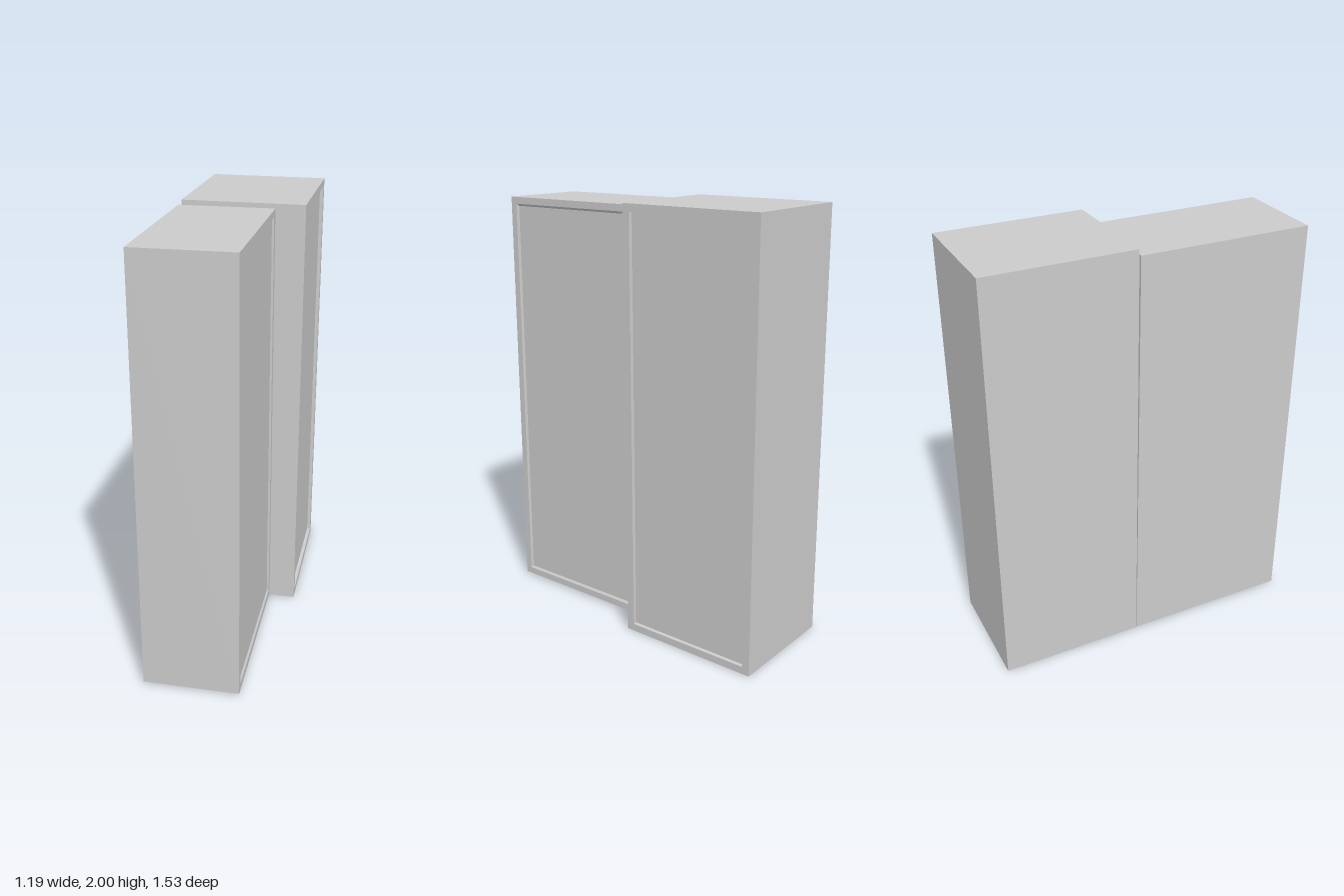
import * as THREE from 'three';

// Closed box with a framed, recessed front panel, built from nested rectangular rings.
// The base is centred on the origin; the panel faces +z.
function framedCabinet(w, h, d, border, bevel, recess) {
  const ring = (inset, z) => {
    const x = w / 2 - inset;
    return [[-x, inset, z], [x, inset, z], [x, h - inset, z], [-x, h - inset, z]];
  };
  const rings = [
    ring(0, -d / 2),                        // back
    ring(0, d / 2),                         // front outer edge
    ring(border, d / 2),                    // inner edge of frame
    ring(border + bevel, d / 2 - recess),   // panel edge
  ];
  const pos = [];
  const quad = (a, b, c, e) => pos.push(...a, ...b, ...c, ...a, ...c, ...e);
  for (let r = 0; r < rings.length - 1; r++) {
    for (let i = 0; i < 4; i++) {
      const j = (i + 1) % 4;
      quad(rings[r][i], rings[r][j], rings[r + 1][j], rings[r + 1][i]);
    }
  }
  quad(...rings[rings.length - 1]);         // panel
  quad(...[...rings[0]].reverse());         // back face
  const g = new THREE.BufferGeometry();
  g.setAttribute('position', new THREE.Float32BufferAttribute(pos, 3));
  g.computeVertexNormals();
  return g;
}

export function createModel() {
  const model = new THREE.Group();
  model.name = 'cabinetPair';
  const material = new THREE.MeshStandardMaterial({ color: 0xcccccc, flatShading: true });

  // Both cabinets stand side by side on a turned axis
  const pair = new THREE.Group();
  pair.name = 'cabinets';
  pair.rotation.y = 1.097;
  model.add(pair);

  const add = (name, geometry, x, y, z) => {
    const mesh = new THREE.Mesh(geometry, material);
    mesh.name = name;
    mesh.position.set(x, y, z);
    pair.add(mesh);
    return mesh;
  };

  // Shallow cabinet with a slightly sunk panel
  add('shallowCabinet', framedCabinet(0.808, 1.967, 0.435, 0.032, 0.01, 0.008), -0.367, 0.01, -0.0565);

  // Deep cabinet, leaning forward very slightly
  const deep = add('deepCabinet', framedCabinet(0.686, 1.997, 0.554, 0.035, 0.002, 0.016), 0.38, 0.0015, 0.008);
  deep.rotation.x = 0.005;

  return model;
}
